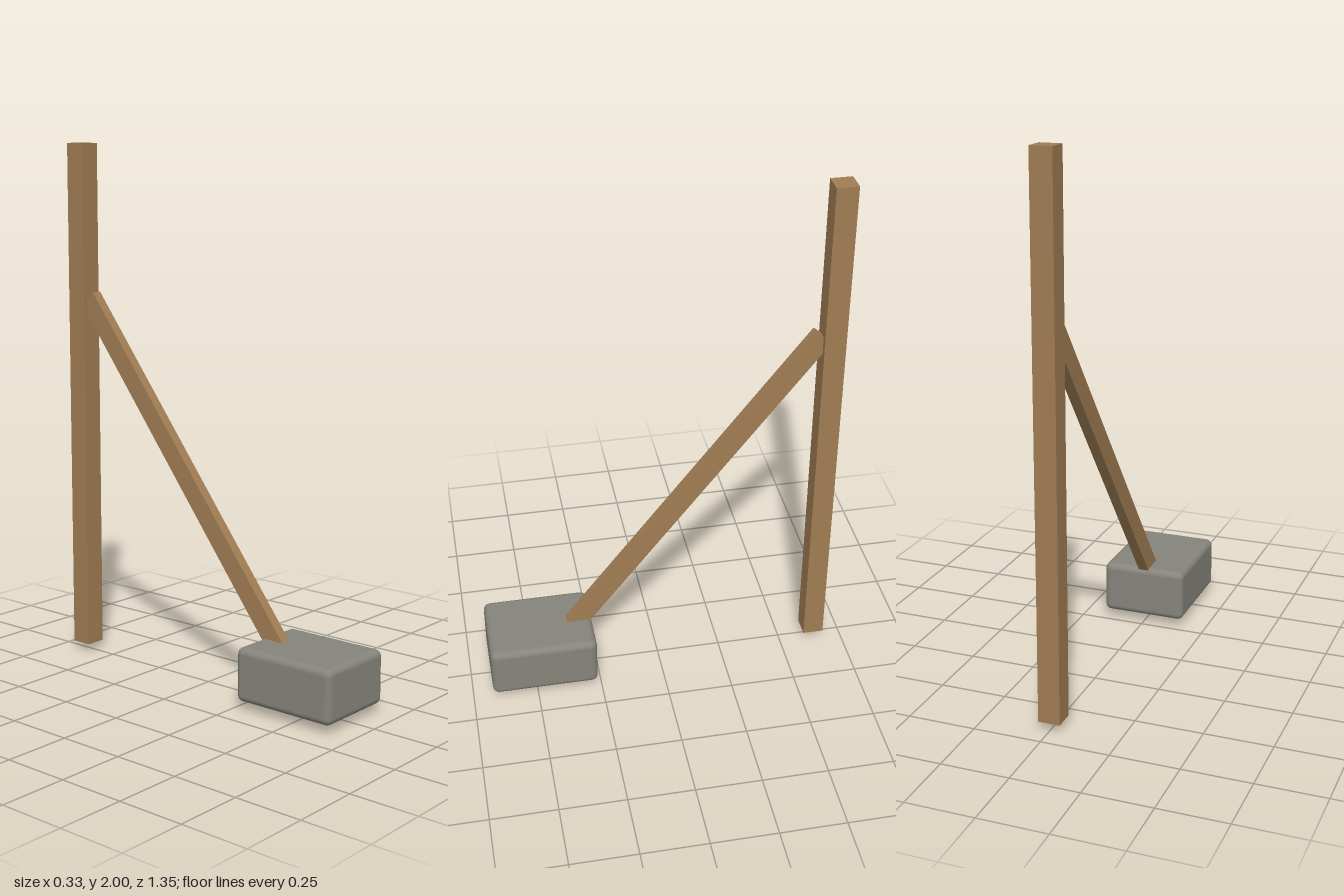
import * as THREE from 'three';
import { RoundedBoxGeometry } from 'three/addons/geometries/RoundedBoxGeometry.js';

export function createModel() {
  const model = new THREE.Group();
  model.name = 'bracedPost';

  const wood = new THREE.MeshStandardMaterial({ color: 0xa07d54 });
  wood.name = 'wood';
  const stone = new THREE.MeshStandardMaterial({ color: 0x86847c });
  stone.name = 'stone';

  const add = (name, geometry, material, x, y, z) => {
    const mesh = new THREE.Mesh(geometry, material);
    mesh.name = name;
    mesh.position.set(x, y, z);
    model.add(mesh);
    return mesh;
  };

  // Upright square post
  add('post', new THREE.BoxGeometry(0.08, 1.97, 0.08), wood, 0, 1.015, -0.636);

  // Diagonal brace, from inside the footing to the front face of the post
  const foot = new THREE.Vector3(0, 0.023, 0.475);
  const head = new THREE.Vector3(0, 1.412, -0.598);
  const axis = head.clone().sub(foot);
  const middle = foot.clone().add(head).multiplyScalar(0.5);
  const brace = add('brace', new THREE.BoxGeometry(0.04, axis.length(), 0.076), wood,
    middle.x, middle.y, middle.z);
  brace.rotation.x = Math.atan2(axis.z, axis.y);

  // Footing block with softened edges
  add('footingBlock', new RoundedBoxGeometry(0.326, 0.2, 0.41, 3, 0.025), stone, 0, 0.13, 0.469);

  return model;
}
